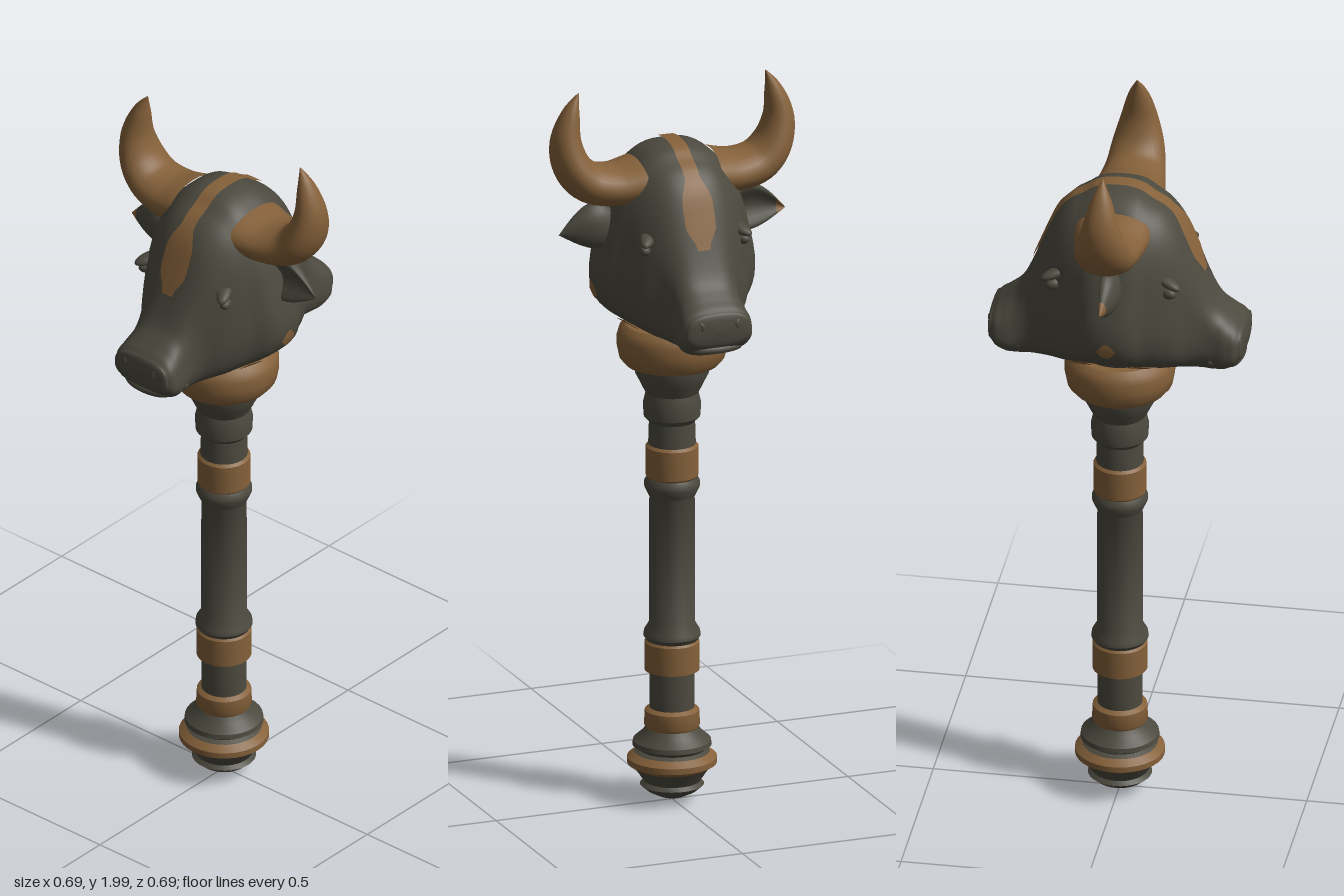
import * as THREE from 'three';
import { mergeVertices, toCreasedNormals } from 'three/addons/utils/BufferGeometryUtils.js';

const iron = new THREE.MeshStandardMaterial({ name: 'dark iron', color: 0x4c4a3f });
const bronze = new THREE.MeshStandardMaterial({ name: 'bronze', color: 0x85613a });

function add(parent, name, geometry, material) {
  const mesh = new THREE.Mesh(geometry, material);
  mesh.name = name;
  parent.add(mesh);
  return mesh;
}

// Smooth surface from a rule (u, v) -> [x, y, z]; outside is along du x dv
function surface(rule, nu, nv) {
  const geo = new THREE.PlaneGeometry(1, 1, nu, nv);
  const { position, uv } = geo.attributes;
  for (let i = 0; i < position.count; i++) position.setXYZ(i, ...rule(uv.getX(i), uv.getY(i)));
  geo.deleteAttribute('uv');
  geo.deleteAttribute('normal');
  const merged = mergeVertices(geo, 1e-5);
  merged.computeVertexNormals();
  return merged;
}

// Head cross-sections from the centre to the muzzle: z, top, bottom, upper half-width, lower half-width
const half = [
  [0, 1.84, 1.35, 0.14, 0.27],
  [0.06, 1.83, 1.345, 0.145, 0.25],
  [0.09, 1.81, 1.335, 0.145, 0.215],
  [0.13, 1.785, 1.33, 0.13, 0.19],
  [0.17, 1.735, 1.33, 0.11, 0.16],
  [0.2, 1.665, 1.325, 0.1, 0.125],
  [0.23, 1.59, 1.325, 0.085, 0.11],
  [0.26, 1.525, 1.325, 0.085, 0.105],
  [0.3, 1.485, 1.335, 0.09, 0.11],
  [0.33, 1.46, 1.36, 0.085, 0.095],
  [0.342, 1.44, 1.385, 0.06, 0.06],
  [0.345, 1.412, 1.412, 0, 0],
];
const keys = [...half.slice(1).reverse().map(([z, ...r]) => [-z, ...r]), ...half];
const sections = new THREE.CubicInterpolant(keys.map(k => k[0]), keys.flatMap(k => k.slice(1)), 4);

const pow = (v, e) => Math.sign(v) * Math.abs(v) ** e;
const ROUND = 0.72;
function headPoint(z, t) {
  const [top, bottom, wTop, wBottom] = sections.evaluate(z);
  const s = pow(Math.sin(t), ROUND);
  const w = THREE.MathUtils.lerp(wBottom, wTop, (s + 1) / 2);
  return [w * pow(Math.cos(t), ROUND), (top + bottom) / 2 + s * (top - bottom) / 2, z];
}

// Lifts a point slightly off the head for painted details
function lifted(z, t) {
  const p = new THREE.Vector3(...headPoint(z, t));
  const out = new THREE.Vector3(p.x, p.y - 1.55, p.z).setLength(0.005);
  return p.add(out).toArray();
}

function stripePoint(u, v) {
  const z = THREE.MathUtils.lerp(0.226, -0.226, v);
  const a = Math.abs(z);
  const width = (0.021 + 0.021 * THREE.MathUtils.smoothstep(a, 0.14, 0.18))
    * (1 - 0.6 * THREE.MathUtils.smoothstep(a, 0.2, 0.226));
  const x = (u - 0.5) * 2 * width;
  const wTop = sections.evaluate(z)[2];
  return lifted(z, Math.acos(pow(x / wTop, 1 / ROUND)));
}

// Horn: flattened tapering sweep in the x-y plane; x, y, in-plane radius, z radius
const hornKeys = [
  [0.1, 1.745, 0.06, 0.105], [0.17, 1.737, 0.056, 0.092], [0.24, 1.752, 0.055, 0.08],
  [0.285, 1.8, 0.05, 0.07], [0.302, 1.87, 0.041, 0.05], [0.288, 1.945, 0.024, 0.028], [0.266, 2, 0.001, 0.001],
];
function hornGeometry() {
  const path = new THREE.SplineCurve(hornKeys.map(k => new THREE.Vector2(k[0], k[1])));
  const radii = new THREE.SplineCurve(hornKeys.map(k => new THREE.Vector2(k[2], k[3])));
  return surface((u, v) => {
    const p = path.getPoint(u), d = path.getTangent(u), r = radii.getPoint(u);
    const a = v * Math.PI * 2, c = Math.cos(a) * r.x;
    return [p.x + d.y * c, p.y - d.x * c, Math.sin(a) * r.y];
  }, 36, 28);
}

// Ear: drooping leaf with a hollow front, between two fractions of its length
function earGeometry(from, to) {
  return surface((u, v) => {
    const k = THREE.MathUtils.lerp(from, to, u), a = v * Math.PI * 2;
    const fat = 0.022 * (1 - k) + 0.052 * Math.sin(Math.PI * k ** 0.85);
    const front = Math.max(0, Math.sin(a));
    return [
      0.14 + 0.182 * k,
      1.612 + 0.016 * Math.sin(Math.PI * k) - Math.cos(a) * fat,
      Math.sin(a) * fat * 0.6 - front ** 3 * fat * 0.75,
    ];
  }, 20, 24);
}

// Handle pieces from the bottom up: radius, height
const handle = [
  ['pommelTip', iron, [[0, 0.008], [0.035, 0.02], [0.065, 0.035], [0.085, 0.052], [0.075, 0.062], [0.09, 0.085], [0.1, 0.1]]],
  ['pommelRing', bronze, [[0.1, 0.1], [0.119, 0.112], [0.119, 0.128], [0.1, 0.143]]],
  ['pommelTop', iron, [[0.1, 0.143], [0.088, 0.15], [0.105, 0.162], [0.103, 0.175], [0.08, 0.195], [0.07, 0.21]]],
  ['pommelBand', bronze, [[0.07, 0.21], [0.074, 0.218], [0.072, 0.258], [0.06, 0.266]]],
  ['lowerShaft', iron, [[0.06, 0.266], [0.06, 0.365]]],
  ['lowerBand', bronze, [[0.06, 0.365], [0.073, 0.37], [0.073, 0.447], [0.068, 0.453]]],
  ['grip', iron, [[0.068, 0.453], [0.076, 0.465], [0.074, 0.478], [0.061, 0.5], [0.06, 0.85], [0.065, 0.86],
    [0.074, 0.88], [0.074, 0.892], [0.066, 0.905]]],
  ['upperBand', bronze, [[0.066, 0.905], [0.07, 0.91], [0.07, 0.99], [0.063, 0.997]]],
  ['shaftNeck', iron, [[0.063, 0.997], [0.061, 1.06], [0.075, 1.075], [0.077, 1.11], [0.07, 1.14], [0.078, 1.155],
    [0.085, 1.17], [0.098, 1.195], [0.1, 1.222]]],
  ['collar', bronze, [[0.1, 1.222], [0.125, 1.222], [0.14, 1.24], [0.146, 1.27], [0.146, 1.3], [0.14, 1.32],
    [0.125, 1.333], [0.105, 1.335]]],
  ['throat', iron, [[0.105, 1.335], [0.11, 1.345], [0.12, 1.4]]],
];

// Everything on one face; the other face is the same turned half round
function buildFace(name, bronzeEarTip) {
  const face = new THREE.Group();
  face.name = name;
  add(face, 'horn', hornGeometry(), bronze);
  add(face, 'ear', earGeometry(0, 0.86), iron);
  add(face, 'earTip', earGeometry(0.86, 1), bronzeEarTip ? bronze : iron);

  for (const side of [-1, 1]) {
    const t = side > 0 ? 0.12 : Math.PI - 0.12;
    const [x, y, z] = headPoint(0.15, t);
    const eye = add(face, 'eye', new THREE.SphereGeometry(1, 18, 12), iron);
    eye.position.set(x - side * 0.006, y, z);
    eye.scale.set(0.016, 0.016, 0.026);
    eye.rotation.y = side * 0.5;
    const brow = add(face, 'brow', new THREE.SphereGeometry(1, 18, 12), iron);
    brow.position.set(x - side * 0.012, y + 0.03, z - 0.002);
    brow.scale.set(0.02, 0.014, 0.045);
    brow.rotation.set(0.3, side * 0.5, 0);
    const nostril = add(face, 'nostril', new THREE.TorusGeometry(0.017, 0.007, 8, 20), iron);
    nostril.position.set(side * 0.062, 1.425, 0.329);
    nostril.rotation.y = side * 0.6;
    nostril.scale.y = 0.8;
  }

  // Lower lip below the muzzle
  const lip = new THREE.CatmullRomCurve3([[-0.085, 1.37, 0.25], [-0.065, 1.358, 0.308], [0, 1.355, 0.325],
    [0.065, 1.358, 0.308], [0.085, 1.37, 0.25]].map(p => new THREE.Vector3(...p)));
  add(face, 'lowerLip', new THREE.TubeGeometry(lip, 24, 0.012, 8), iron);

  // Worn bronze patches on the cheek
  for (const [z, t, dz, dt] of [[0.075, -0.95, 0.07, 0.3], [0, -0.5, 0.05, 0.25], [-0.075, -0.95, 0.06, 0.2]]) {
    add(face, 'cheekPatch', surface((u, v) =>
      lifted(z + (0.5 - u) * dz, t + (v - 0.5) * dt * Math.sin(Math.PI * u)), 10, 6), bronze);
  }
  return face;
}

export function createModel() {
  const model = new THREE.Group();
  model.name = 'bullHeadMace';

  const shaft = new THREE.Group();
  shaft.name = 'handle';
  model.add(shaft);
  for (const [name, material, points] of handle) {
    const lathe = new THREE.LatheGeometry(points.map(p => new THREE.Vector2(...p)), 32);
    add(shaft, name, toCreasedNormals(lathe, 0.6), material);
  }

  const head = new THREE.Group();
  head.name = 'head';
  model.add(head);
  add(head, 'skull', surface((u, v) =>
    headPoint(0.345 * Math.sin((0.5 - u) * Math.PI), v * Math.PI * 2), 72, 56), iron);
  add(head, 'foreheadStripe', surface(stripePoint, 8, 64), bronze);

  const back = buildFace('backFace', true);
  back.rotation.y = Math.PI;
  head.add(buildFace('frontFace', false), back);
  return model;
}
